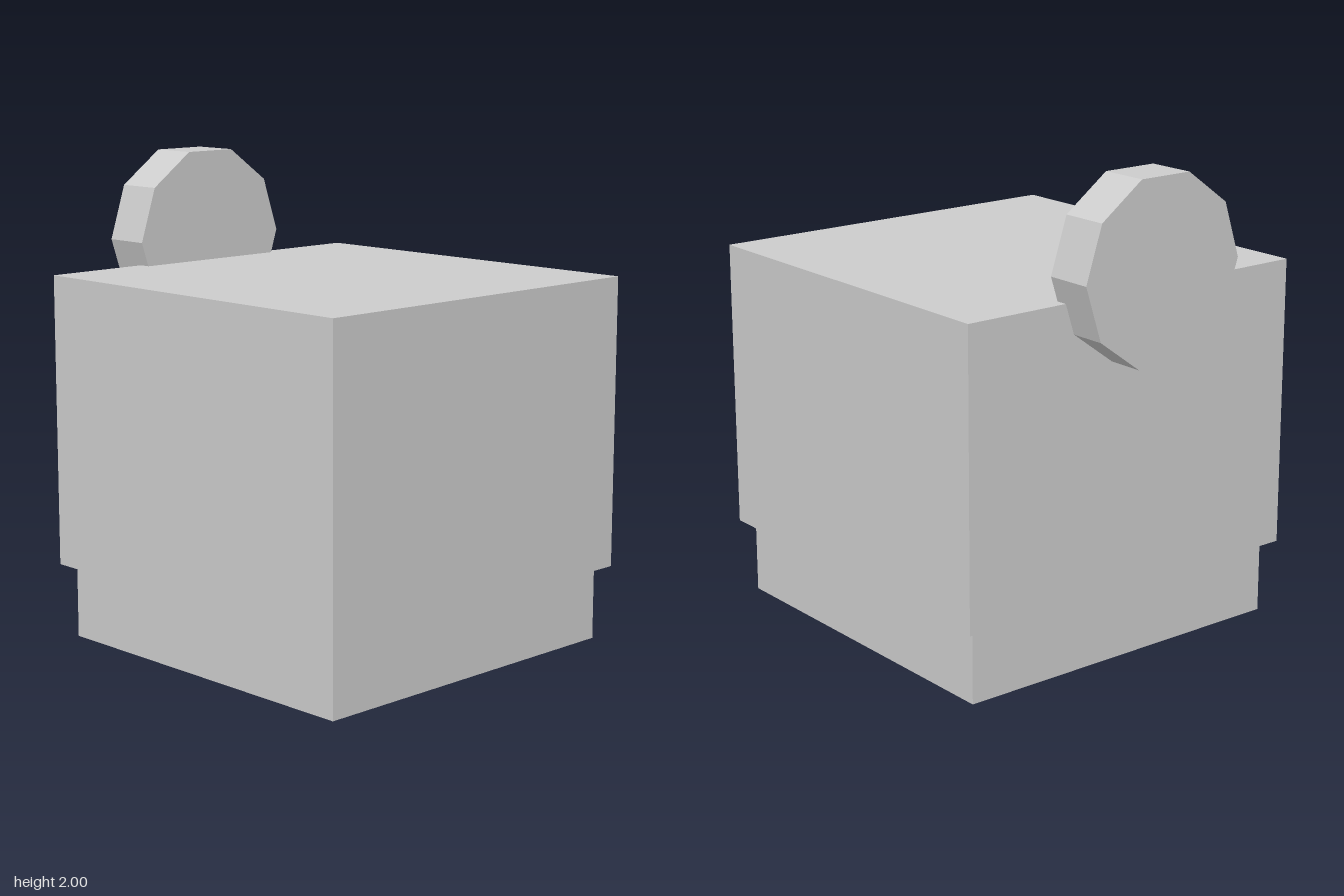
import * as THREE from 'three';

export function createModel() {
  const model = new THREE.Group();
  const grey = new THREE.MeshStandardMaterial({ color: 0xcccccc, flatShading: true, side: THREE.DoubleSide });
  grey.name = 'light grey';

  const add = (name, geometry, x, y, z) => {
    const mesh = new THREE.Mesh(geometry, grey);
    mesh.name = name;
    mesh.position.set(x, y, z);
    model.add(mesh);
  };

  // Main block; its underside closes the hollow base from above
  add('body', new THREE.BoxGeometry(1.63, 1.22, 1.63), 0.075, 0.922, 0);

  // Thin square skirt, open underneath
  const skirt = new THREE.CylinderGeometry(1.53 / Math.SQRT2, 1.53 / Math.SQRT2, 0.312, 4, 1, true);
  skirt.rotateY(Math.PI / 4);
  add('base', skirt, 0.075, 0.156, 0);

  // Ten-sided disc on the side, with a flat edge on top
  const disc = new THREE.CylinderGeometry(0.386, 0.386, 0.203, 10);
  disc.rotateZ(Math.PI / 2);
  add('sideDisc', disc, -0.793, 1.633, 0);

  return model;
}
